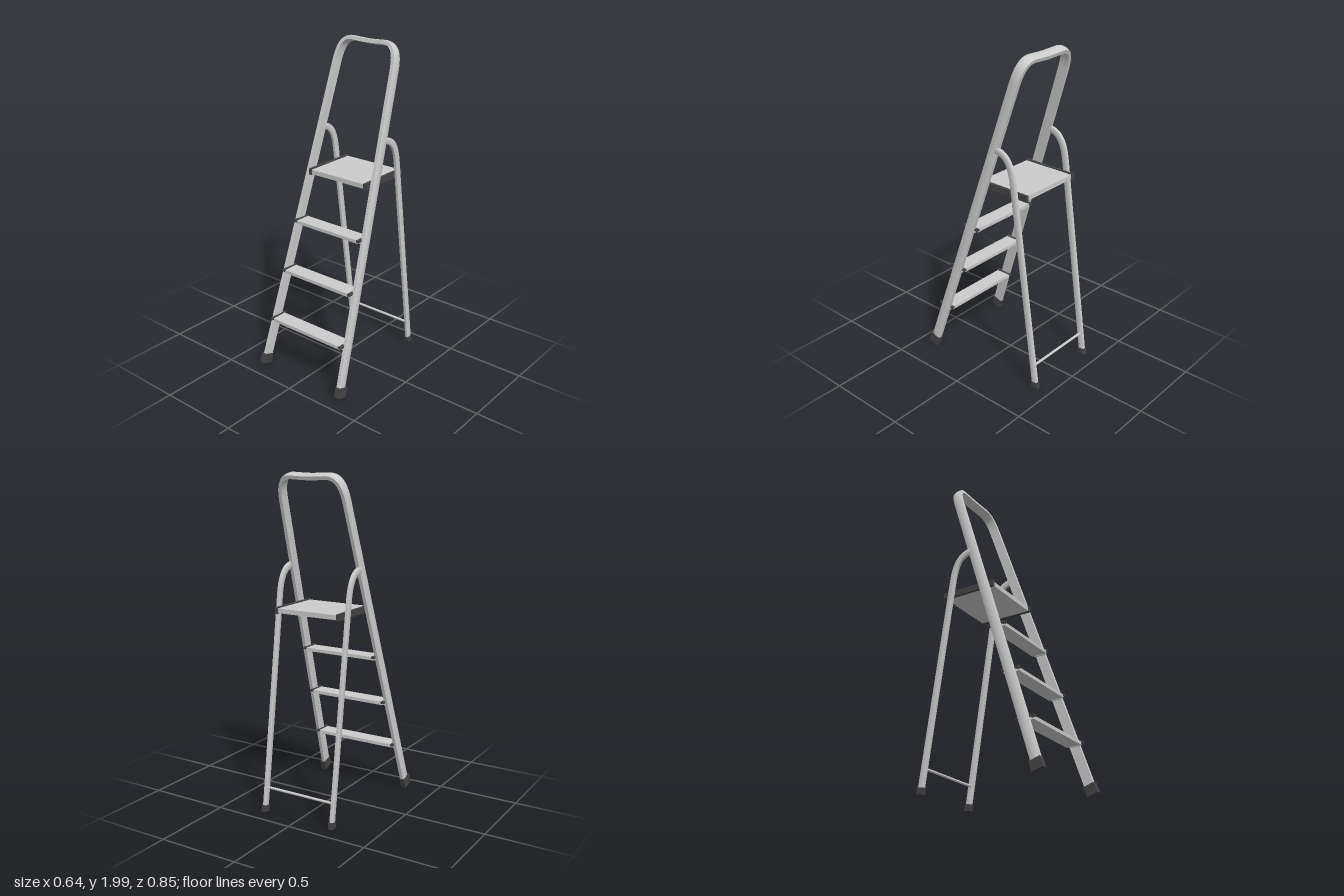
import * as THREE from 'three';
import { toCreasedNormals } from 'three/addons/utils/BufferGeometryUtils.js';

const grey = new THREE.MeshStandardMaterial({ color: 0xcccccc });
const dark = new THREE.MeshStandardMaterial({ color: 0x444444 });

// Sweeps a section [outward, z] along a flat path of Vector2 points.
function sweep(path, section) {
  const pos = [], index = [], n = section.length, last = path.length - 1;
  path.forEach((p, i) => {
    const t = path[Math.min(i + 1, last)].clone().sub(path[Math.max(i - 1, 0)]).normalize();
    for (const [a, b] of section) pos.push(p.x + t.y * a, p.y - t.x * a, b);
  });
  for (let i = 0; i < last; i++) {
    for (let j = 0; j < n; j++) {
      const k = (j + 1) % n, a = i * n, b = a + n;
      index.push(a + j, b + j, a + k, b + j, b + k, a + k);
    }
  }
  for (let j = 1; j < n - 1; j++) {
    index.push(0, j, j + 1, last * n, last * n + j + 1, last * n + j);
  }
  const geo = new THREE.BufferGeometry();
  geo.setAttribute('position', new THREE.Float32BufferAttribute(pos, 3));
  geo.setIndex(index);
  return toCreasedNormals(geo, 0.6);
}

function add(parent, name, geo, material, x = 0, y = 0, z = 0) {
  const mesh = new THREE.Mesh(geo, material);
  mesh.name = name;
  mesh.position.set(x, y, z);
  parent.add(mesh);
  return mesh;
}

const box = (w, h, d) => new THREE.BoxGeometry(w, h, d);
const v2 = (x, y) => new THREE.Vector2(x, y);

function rod(parent, name, length, radius, x, y, z) {
  add(parent, name, new THREE.CylinderGeometry(radius, radius, length, 12), grey, x, y, z).rotation.z = Math.PI / 2;
}

export function createModel() {
  const model = new THREE.Group();
  model.name = 'stepladder';

  // Leaning front frame: two splayed legs joined by a rounded handrail
  const frame = new THREE.Group();
  frame.name = 'frontFrame';
  frame.position.set(0, 0.011, 0.39);
  frame.rotation.x = -0.315;
  model.add(frame);

  const corner = new THREE.CubicBezierCurve(v2(0.213, 1.92), v2(0.208, 2.02), v2(0.18, 2.068), v2(0.115, 2.068));
  const half = [v2(0.301, 0.02), v2(0.257, 0.97), ...corner.getPoints(14), v2(0.06, 2.065)];
  const mirrored = half.map((p) => v2(-p.x, p.y)).reverse();
  const railSection = [[-0.014, -0.03], [0.007, -0.03], [0.012, -0.018], [0.014, 0],
    [0.012, 0.018], [0.007, 0.03], [-0.014, 0.03]];
  add(frame, 'frontRail', sweep([...half, v2(0, 2.063), ...mirrored], railSection), grey);

  // Rear leg path, drawn in z and y
  const bend = new THREE.CubicBezierCurve(v2(-0.222, 1.28), v2(-0.205, 1.41), v2(-0.16, 1.45), v2(-0.09, 1.455));
  const rearPath = [v2(-0.4, 0.02), ...bend.getPoints(14)];
  const rearSection = [[-0.019, -0.008], [-0.014, -0.011], [0.014, -0.011], [0.019, -0.008],
    [0.019, 0.008], [0.014, 0.011], [-0.014, 0.011], [-0.019, 0.008]];
  const rearGeo = sweep(rearPath, rearSection);

  for (const side of [1, -1]) {
    const foot = add(frame, 'frontFoot', box(0.034, 0.062, 0.07), dark, side * 0.301, 0.031, 0);
    foot.rotation.z = side * 0.046;

    add(model, 'rearLeg', rearGeo, grey, side * 0.233, 0, 0).rotation.y = -Math.PI / 2;
    const rearFoot = add(model, 'rearFoot', box(0.026, 0.04, 0.044), dark, side * 0.233, 0.023, -0.4);
    rearFoot.rotation.x = 0.14;

    // Platform edge and its pivot
    add(model, 'platformEdge', box(0.017, 0.038, 0.354), dark, side * 0.206, 1.21, -0.124);
    rod(model, 'platformPivot', 0.05, 0.009, side * 0.222, 1.205, 0.002);
  }

  rod(model, 'rearBrace', 0.46, 0.008, 0, 0.15, -0.383);
  add(model, 'platform', box(0.4, 0.028, 0.34), grey, 0, 1.209, -0.124);

  // Three treads, each wider than the one above
  for (let i = 0; i < 3; i++) {
    const y = 0.307 + i * 0.3;
    const z = 0.297 - i * 0.0985;
    const halfWidth = 0.28 - i * 0.0155;
    add(model, 'tread', box(2 * halfWidth - 0.026, 0.02, 0.098), grey, 0, y, z);
    for (const side of [1, -1]) {
      add(model, 'treadCap', box(0.018, 0.014, 0.114), dark, side * (halfWidth - 0.009), y + 0.007, z);
      add(model, 'treadBracket', box(0.014, 0.014, 0.07), grey, side * (halfWidth - 0.008), y - 0.006, z);
    }
  }
  return model;
}
